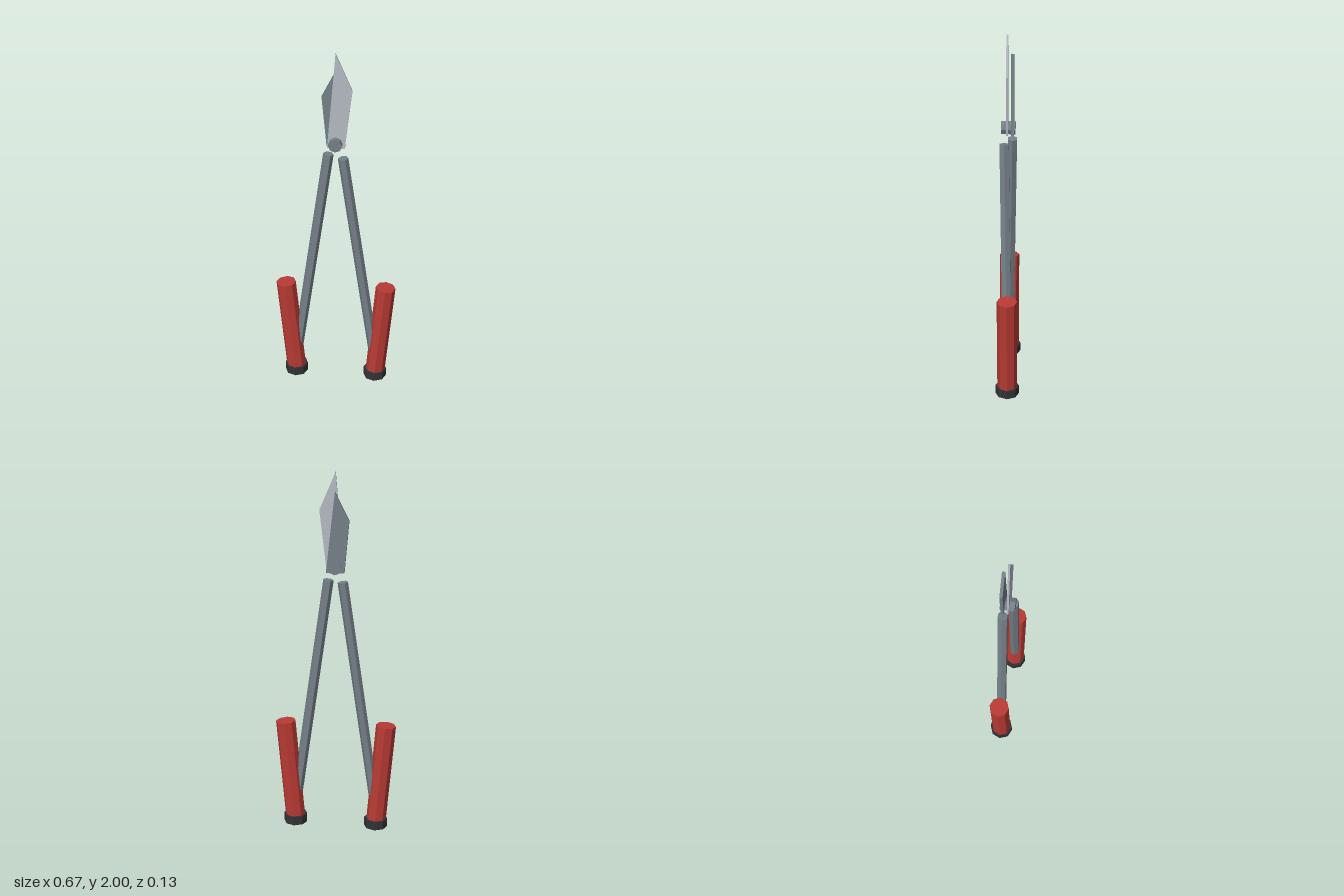
import * as THREE from 'three';

const flat = (name, color) => {
  const m = new THREE.MeshStandardMaterial({ color, flatShading: true });
  m.name = name;
  return m;
};

export function createModel() {
  const steel = flat('greySteel', 0x748087);
  const bright = flat('brightSteel', 0xb4bac1);
  const red = flat('redGrip', 0xb93a34);
  const dark = flat('darkRubber', 0x323336);

  const model = new THREE.Group();
  model.name = 'loppers';

  const add = (name, geometry, material) => {
    const mesh = new THREE.Mesh(geometry, material);
    mesh.name = name;
    model.add(mesh);
    return mesh;
  };

  // Faceted rod between two points, spun about its own axis
  const rod = (name, from, to, radius, sides, spin, material) => {
    const a = new THREE.Vector3(...from);
    const b = new THREE.Vector3(...to);
    const dir = b.clone().sub(a);
    const geometry = new THREE.CylinderGeometry(radius, radius, dir.length(), sides);
    geometry.rotateY(spin);
    const mesh = add(name, geometry, material);
    mesh.quaternion.setFromUnitVectors(new THREE.Vector3(0, 1, 0), dir.normalize());
    mesh.position.copy(a.add(b).multiplyScalar(0.5));
  };

  // Thin blade cut from an outline
  const blade = (name, outline, z, depth, material) => {
    const shape = new THREE.Shape(outline.map(([x, y]) => new THREE.Vector2(x, y)));
    const geometry = new THREE.ExtrudeGeometry(shape, { depth, bevelEnabled: false });
    add(name, geometry, material).position.z = z;
  };

  // Handles: a crossing arm, a grip leaning outward and an end cap
  for (const [side, s] of [['left', 1], ['right', -1]]) {
    rod(`${side}Arm`, [s * 0.224, 0.12, 0], [s * 0.041, 1.42, s * 0.021], 0.028, 6, Math.PI / 2, steel);
    rod(`${side}Grip`, [s * 0.229, 0.03, 0], [s * 0.279, 0.61, 0], 0.055, 8, 0, red);
    rod(`${side}EndCap`, [s * 0.228, 0, 0], [s * 0.228, 0.05, 0], 0.065, 8, 0, dark);
  }

  // Pivot bolt through both blades
  rod('pivotBolt', [0, 1.497, -0.038], [0, 1.497, 0.038], 0.037, 8, 0, steel);

  // Blades
  blade('frontBlade', [[-0.045, 1.47], [0.048, 1.47], [0.086, 1.8], [0, 2]], 0, 0.01, bright);
  blade('rearBlade', [[0.048, 1.47], [0, 1.9], [-0.075, 1.75], [-0.05, 1.47]], -0.03, 0.016, steel);

  return model;
}
